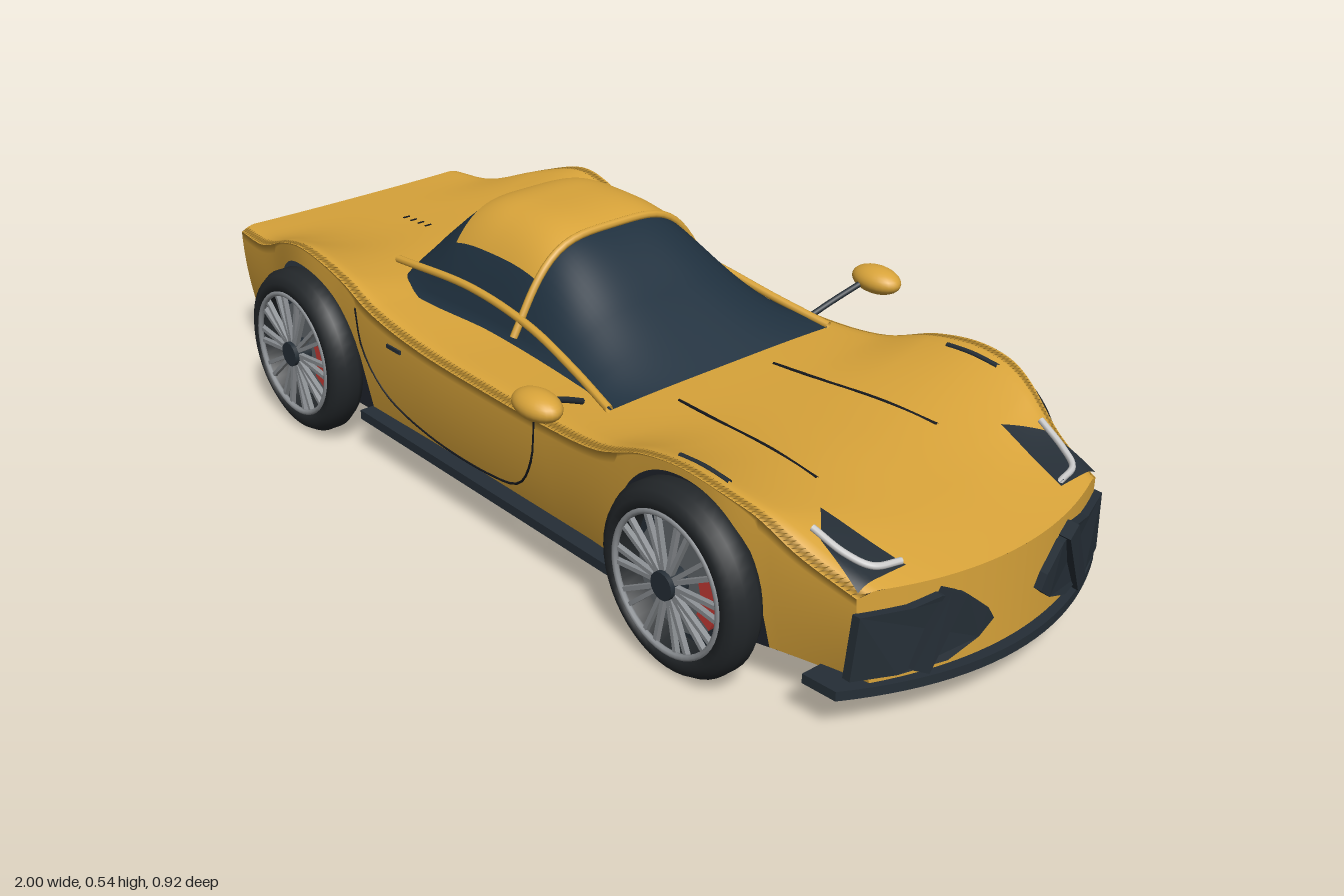
import * as THREE from 'three';
import { ParametricGeometry } from 'three/addons/geometries/ParametricGeometry.js';

const mat = (color) => new THREE.MeshStandardMaterial({ color, side: THREE.DoubleSide });
const V = (x, y, z) => new THREE.Vector3(x, y, z);

// smooth function through [x, value] pairs
function smooth(pts) {
  const slope = (i) => {
    const a = pts[Math.max(i - 1, 0)], b = pts[Math.min(i + 1, pts.length - 1)];
    return (b[1] - a[1]) / (b[0] - a[0]);
  };
  return (x) => {
    let i = 0;
    while (i < pts.length - 2 && x > pts[i + 1][0]) i++;
    const [x0, y0] = pts[i], [x1, y1] = pts[i + 1], h = x1 - x0;
    const t = THREE.MathUtils.clamp((x - x0) / h, 0, 1), t2 = t * t, t3 = t2 * t;
    return (2 * t3 - 3 * t2 + 1) * y0 + (t3 - 2 * t2 + t) * h * slope(i)
      + (3 * t2 - 2 * t3) * y1 + (t3 - t2) * h * slope(i + 1);
  };
}

const TAIL = -0.97, NOSE = 0.975, FLOOR = 0.09, AXLE = 0.585, WHEEL_Y = 0.18, ARCH = 0.183;

// body rules along its length: half width, fender crest, centre line height
const width = smooth([[-0.97, 0.3], [-0.8, 0.325], [-0.6, 0.372], [-0.45, 0.37], [-0.2, 0.365],
  [0.2, 0.36], [0.45, 0.37], [0.65, 0.37], [0.8, 0.34], [0.975, 0.3]]);
const crest = smooth([[-0.97, 0.315], [-0.85, 0.325], [-0.7, 0.385], [-0.58, 0.415], [-0.45, 0.388],
  [-0.35, 0.348], [-0.2, 0.322], [0, 0.312], [0.2, 0.312], [0.35, 0.328], [0.48, 0.375], [0.6, 0.39],
  [0.75, 0.362], [0.87, 0.308], [0.975, 0.27]]);
const centre = smooth([[-0.97, 0.312], [-0.75, 0.325], [-0.55, 0.335], [-0.3, 0.32], [-0.1, 0.305],
  [0.3, 0.308], [0.6, 0.315], [0.8, 0.295], [0.975, 0.265]]);

const bend = (x, z) => 0.07 * (z / 0.3) ** 2 * THREE.MathUtils.smoothstep(x, 0.6, NOSE);
const deckY = (x, s) => centre(x) + (crest(x) - centre(x)) * s ** 2.4 - 0.012 * Math.max(0, (s - 0.88) / 0.12) ** 2;
const sideZ = (x, y) => width(x) - 0.03 * Math.max(0, (crest(x) - y) / (crest(x) - FLOOR)) ** 2;
const onDeck = (x, z, lift = 0.004) => {
  const X = x + bend(x, z);
  return V(x, deckY(X, Math.min(1, Math.abs(z) / width(X))) + lift, z);
};
const lowEdge = (x) => {
  const d = Math.abs(Math.abs(x) - AXLE);
  return d < ARCH ? WHEEL_Y + Math.sqrt(ARCH * ARCH - d * d) : FLOOR;
};

// cabin rules
const cabTop = smooth([[-0.5, 0.345], [-0.44, 0.4], [-0.38, 0.46], [-0.3, 0.522], [-0.2, 0.54],
  [-0.04, 0.525], [0.12, 0.435], [0.28, 0.338]]);
const cabWidth = smooth([[-0.5, 0.09], [-0.47, 0.2], [-0.43, 0.24], [-0.1, 0.25], [0.28, 0.275]]);
const cabBase = smooth([[-0.5, 0.33], [-0.3, 0.335], [-0.1, 0.345], [0.2, 0.345], [0.28, 0.335]]);
const onCabin = (x, s, lift = 0) => {
  const b = cabBase(x), h = Math.max(0.001, cabTop(x) - b);
  return V(x, b + h * Math.max(0, 1 - s ** 4) ** 1.4 + lift, s * (cabWidth(x) + lift));
};

export function createModel() {
  const car = new THREE.Group();
  car.name = 'sportsCar';
  const paint = mat(0xd9a43a), glass = mat(0x1f303e), trim = mat(0x252e36), black = mat(0x14171d);
  const rubber = mat(0x23272a), metal = mat(0x8c9094), chrome = mat(0xcccccc), red = mat(0xc43a34);

  const add = (name, geo, material, pos = [0, 0, 0], parent = car) => {
    const m = new THREE.Mesh(geo, material);
    m.name = name;
    m.position.set(...pos);
    parent.add(m);
    return m;
  };
  const sheet = (name, fn, nu, nv, material) =>
    add(name, new ParametricGeometry((u, v, p) => p.copy(fn(u, v)), nu, nv), material);
  const tube = (name, pts, r, material) =>
    add(name, new THREE.TubeGeometry(new THREE.CatmullRomCurve3(pts), 32, r, 8), material);
  const box = (name, size, pos, material, parent) => add(name, new THREE.BoxGeometry(...size), material, pos, parent);
  const mix = THREE.MathUtils.lerp;

  // shell: deck plus sides, with the wheel arches cut into the lower edge
  sheet('bodyShell', (u, v) => {
    const X = mix(TAIL, NOSE, u), k = 2 * v - 1, a = Math.abs(k), sg = Math.sign(k);
    let y, z;
    if (a <= 0.6) {
      const s = a / 0.6;
      y = deckY(X, s);
      z = s * width(X);
    } else {
      y = mix(deckY(X, 1), lowEdge(X), (a - 0.6) / 0.4);
      z = sideZ(X, y);
    }
    return V(X - bend(X, z), y, sg * z);
  }, 200, 60, paint);

  // end faces
  for (const [name, X] of [['noseFace', NOSE], ['tailFace', TAIL]]) {
    sheet(name, (u, v) => {
      const s = 2 * u - 1, y = mix(deckY(X, Math.abs(s)), FLOOR, v), z = s * sideZ(X, y);
      return V(X - bend(X, z), y, z);
    }, 24, 8, paint);
  }

  // underside
  const under = (x0, x1) => (u, v) => {
    const X = mix(x0, x1, u), z = (2 * v - 1) * (width(X) - 0.03);
    return V(X - bend(X, z), FLOOR, z);
  };
  sheet('floorPan', under(-0.83, NOSE), 40, 12, black);
  sheet('rearUnderside', under(TAIL, -0.83), 6, 12, paint);

  // front splitter follows the curve of the nose
  const lip = new THREE.Shape();
  lip.moveTo(0.83, -0.335);
  lip.lineTo(0.9, -0.33);
  lip.quadraticCurveTo(1.09, 0, 0.9, 0.33);
  lip.lineTo(0.83, 0.335);
  const lipGeo = new THREE.ExtrudeGeometry(lip, { depth: 0.018, bevelEnabled: false, curveSegments: 24 });
  add('frontSplitter', lipGeo.rotateX(Math.PI / 2), trim, [0, 0.096, 0]);

  // cabin
  sheet('cabinGlass', (u, v) => onCabin(mix(-0.5, 0.28, u), 2 * v - 1), 60, 40, glass);
  sheet('roofPanel', (u, v) => onCabin(mix(-0.3, -0.04, u), 0.74 * (2 * v - 1), 0.005), 20, 30, paint);
  const hoop = [];
  for (let i = 0; i <= 24; i++) hoop.push(onCabin(-0.035, -0.97 + 1.94 * i / 24, 0.003));
  tube('roofHoop', hoop, 0.008, paint);

  for (const s of [1, -1]) {
    const side = s > 0 ? 'left' : 'right';
    const P = (x, y, z) => V(x, y, z * s);
    tube(side + 'WindowRail', [P(-0.45, 0.383, 0.228), P(-0.2, 0.4, 0.226), P(0, 0.388, 0.236),
      P(0.15, 0.362, 0.254), P(0.28, 0.338, 0.277)], 0.008, paint);

    // mirror
    tube(side + 'MirrorStalk', [P(0.22, 0.335, 0.29), P(0.235, 0.36, 0.34), P(0.25, 0.385, 0.4)], 0.006, trim);
    add(side + 'Mirror', new THREE.SphereGeometry(1, 24, 16).scale(0.057, 0.027, 0.036), paint, [0.265, 0.39, s * 0.425]);

    // headlight lens and light strip
    sheet(side + 'Headlight', (u, v) => onDeck(
      mix(mix(0.75, 0.91, u), mix(0.81, 0.905, u), v), s * mix(mix(0.225, 0.195, u), mix(0.285, 0.298, u), v), 0.006), 10, 10, trim);
    tube(side + 'LightStrip', [[0.79, 0.285], [0.85, 0.272], [0.89, 0.25], [0.905, 0.2]]
      .map(([x, z]) => onDeck(x, s * z, 0.012)), 0.006, chrome);

    // nose intake with slanted vanes, wrapped around the nose
    const wrap = (geo) => {
      const p = geo.attributes.position;
      for (let i = 0; i < p.count; i++) {
        const z = p.getX(i);
        p.setXYZ(i, NOSE - 0.07 * (z / 0.3) ** 2 + p.getZ(i), p.getY(i), s * z);
      }
      geo.computeVertexNormals();
      return geo;
    };
    const panel = (name, pts, depth) => add(name, wrap(new THREE.ExtrudeGeometry(
      new THREE.Shape(pts.map((q) => new THREE.Vector2(...q))), { depth, bevelEnabled: false })), trim);
    panel(side + 'Intake', [[0.06, 0.165], [0.075, 0.19], [0.12, 0.23], [0.17, 0.242], [0.22, 0.232], [0.305, 0.232],
      [0.315, 0.115], [0.24, 0.112], [0.15, 0.115], [0.09, 0.14]], 0.016);
    panel(side + 'IntakeVane', [[0.13, 0.235], [0.16, 0.25], [0.22, 0.12], [0.19, 0.105]], 0.024);

    // hood crease, fender vent, door shut line, handle
    tube(side + 'HoodLine', [0.29, 0.42, 0.55, 0.67].map((x) => onDeck(x, s * (0.12 + (x - 0.29) * 0.08), 0)), 0.003, black);
    tube(side + 'FenderVent', [0.53, 0.59, 0.65].map((x) => onDeck(x, s * 0.333, 0)), 0.005, trim);
    tube(side + 'DoorLine', [[0.17, 0.305], [0.15, 0.21], [0.09, 0.13], [0, 0.108], [-0.2, 0.115],
      [-0.33, 0.16], [-0.39, 0.24], [-0.4, 0.33]].map(([x, y]) => P(x, y, sideZ(x, y))), 0.0025, black);
    box(side + 'DoorHandle', [0.045, 0.008, 0.008], [-0.27, 0.285, s * sideZ(-0.27, 0.285)], trim);

    // sill skirt
    box(side + 'SideSkirt', [0.8, 0.02, 0.035], [0, 0.093, s * 0.354], trim);

    // tail light and exhaust
    box(side + 'TailLight', [0.014, 0.014, 0.2], [-0.97, 0.288, s * 0.195], red);
    add(side + 'Exhaust', new THREE.CylinderGeometry(0.027, 0.027, 0.06, 20, 1, true).rotateZ(Math.PI / 2), chrome, [-0.97, 0.14, s * 0.187]);
    add(side + 'ExhaustCore', new THREE.CylinderGeometry(0.025, 0.025, 0.02, 20).rotateZ(Math.PI / 2), black, [-0.97, 0.14, s * 0.187]);

    // wheels
    for (const x of [AXLE, -AXLE]) {
      const wheel = new THREE.Group();
      wheel.name = side + (x > 0 ? 'FrontWheel' : 'RearWheel');
      wheel.position.set(x, WHEEL_Y - 0.003, s * 0.378);
      car.add(wheel);
      const tyre = [[0.13, -0.036], [0.15, -0.038], [0.165, -0.03], [0.175, -0.014], [0.175, 0.014],
        [0.165, 0.03], [0.15, 0.038], [0.13, 0.036], [0.13, -0.036]].map((q) => new THREE.Vector2(...q));
      add('tyre', new THREE.LatheGeometry(tyre, 48).rotateX(Math.PI / 2), rubber, [0, 0, 0], wheel);
      add('rim', new THREE.TorusGeometry(0.129, 0.006, 8, 48), metal, [0, 0, s * 0.034], wheel);
      add('wheelBack', new THREE.CylinderGeometry(0.13, 0.13, 0.008, 40).rotateX(Math.PI / 2), trim, [0, 0, -s * 0.025], wheel);
      add('brakeDisc', new THREE.CylinderGeometry(0.1, 0.1, 0.008, 40).rotateX(Math.PI / 2), mat(0x62676c), [0, 0, 0], wheel);
      add('hub', new THREE.CylinderGeometry(0.026, 0.026, 0.06, 16).rotateX(Math.PI / 2), trim, [0, 0, s * 0.014], wheel);
      const caliper = new THREE.Shape();
      caliper.absarc(0, 0, 0.105, -0.5, 0.5, false);
      caliper.absarc(0, 0, 0.07, 0.5, -0.5, true);
      add('brakeCaliper', new THREE.ExtrudeGeometry(caliper, { depth: 0.024, bevelEnabled: false }), red, [0, 0, s * 0.008 - 0.012], wheel);
      for (let i = 0; i < 20; i++) {
        const a = (Math.floor(i / 2) / 10) * Math.PI * 2 + (i % 2 ? 0.11 : -0.11);
        const spoke = box('spoke', [0.108, 0.008, 0.01], [Math.cos(a) * 0.076, Math.sin(a) * 0.076, s * 0.03], metal, wheel);
        spoke.rotation.z = a;
      }
    }
  }

  // rear panel, diffuser fins, deck louvres
  box('rearPanel', [0.012, 0.085, 0.42], [-0.97, 0.165, 0], trim);
  for (let i = 0; i < 6; i++) box('diffuserFin', [0.07, 0.045, 0.008], [-0.955, 0.1, -0.225 + i * 0.09], trim);
  for (let i = 0; i < 4; i++) {
    const x = -0.76 + i * 0.028;
    box('deckLouvre', [0.004, 0.004, 0.016], [x, centre(x), 0], black);
  }
  return car;
}
